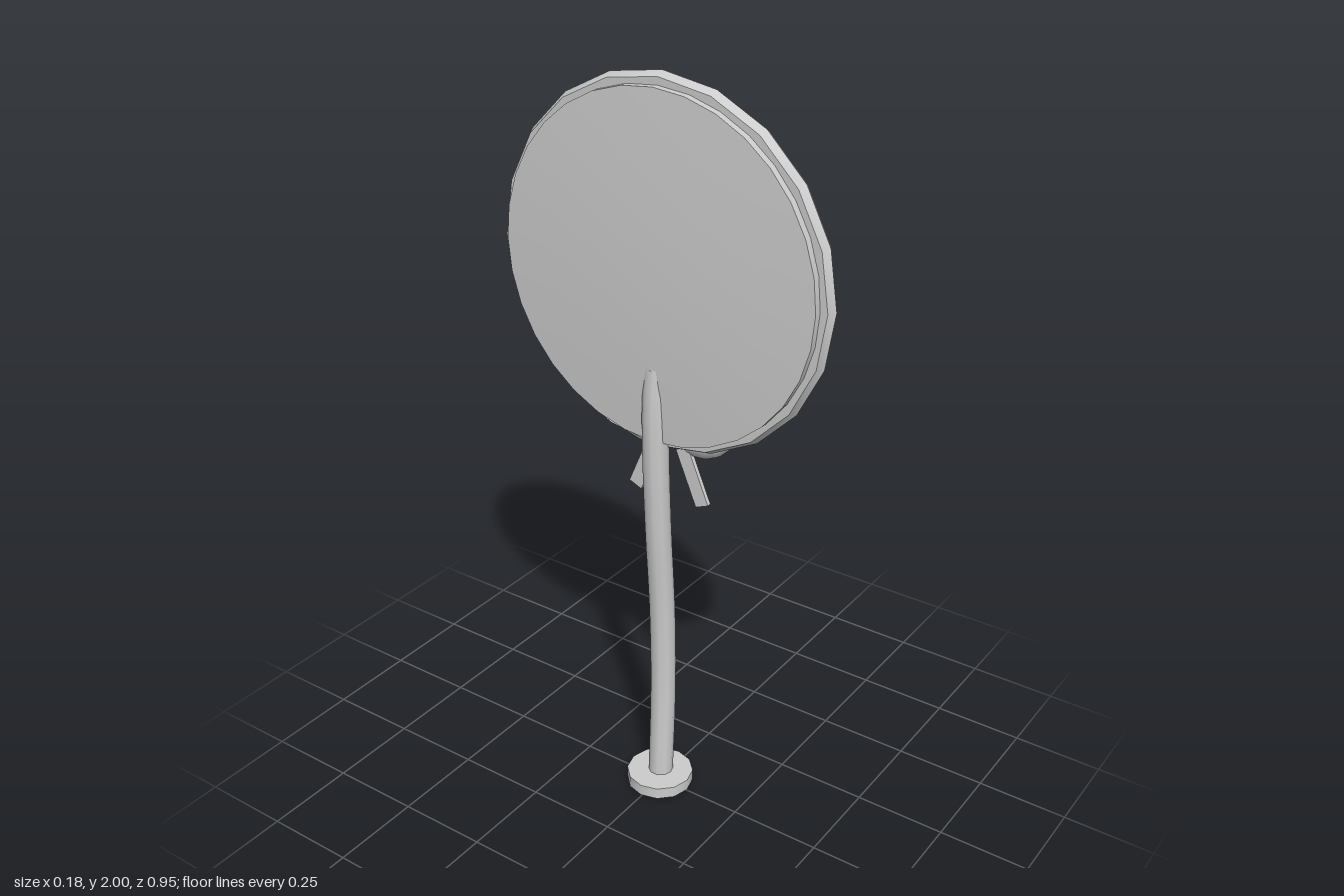
import * as THREE from 'three';
import { toCreasedNormals } from 'three/addons/utils/BufferGeometryUtils.js';

export function createModel() {
  const group = new THREE.Group();
  const grey = new THREE.MeshStandardMaterial({ color: 0xcccccc });
  grey.name = 'plain grey';

  const add = (name, geometry, x, y, z) => {
    const mesh = new THREE.Mesh(geometry, grey);
    mesh.name = name;
    mesh.position.set(x, y, z);
    group.add(mesh);
    return mesh;
  };

  const discX = 0.007, discY = 1.526;

  // Slightly domed disc, its axis along x
  const dome = [0, 0.15, 0.3, 0.443].map(
    (r) => new THREE.Vector2(r, 0.053 - 0.013 * (r / 0.443) ** 2));
  const profile = [
    ...dome.map((p) => new THREE.Vector2(p.x, -p.y)),
    ...dome.slice().reverse(),
  ];
  const disc = new THREE.LatheGeometry(profile, 32).rotateZ(-Math.PI / 2);
  add('disc', toCreasedNormals(disc, 0.7), discX, discY, 0);

  // Six-sided rim around the disc
  const rim = new THREE.TorusGeometry(0.451, 0.023, 6, 20).rotateY(Math.PI / 2);
  add('rim', toCreasedNormals(rim, 0.7), discX, discY, 0);

  // Gently bent stem, closed at both ends
  const path = new THREE.CatmullRomCurve3([
    [0, 0], [0.013, 0.3], [0.009, 0.55], [-0.01, 0.82], [-0.021, 1.05], [-0.021, 1.18], [-0.012, 1.28],
  ].map(([x, y]) => new THREE.Vector3(x, y, 0)));
  add('stem', new THREE.TubeGeometry(path, 20, 0.034, 10), 0, 0, 0);
  const cap = new THREE.CircleGeometry(0.034, 10);
  add('stemTop', cap, -0.012, 1.28, 0).rotation.x = -Math.PI / 2;
  add('stemBottom', cap, 0, 0, 0).rotation.x = Math.PI / 2;

  // Round foot
  const foot = new THREE.CylinderGeometry(0.092, 0.092, 0.033, 12).rotateY(Math.PI / 2);
  add('foot', toCreasedNormals(foot, 0.7), -0.002, 0.0195, 0);

  // Bow: knot, two loops and two hanging tails
  add('bowKnot', new THREE.SphereGeometry(0.038, 10, 8), 0.05, 1.08, 0);
  for (const side of [1, -1]) {
    const name = side > 0 ? 'front' : 'back';
    const loop = add(name + 'BowLoop', new THREE.SphereGeometry(1, 10, 8), 0.05, 1.082, side * 0.105);
    loop.scale.set(0.033, 0.048, 0.082);
    loop.rotation.x = -side * 0.38;
    const tail = add(name + 'BowTail', new THREE.BoxGeometry(0.012, 0.16, 0.04), 0.04, 0.973, side * 0.073);
    tail.rotation.x = -side * 0.4;
  }
  return group;
}
